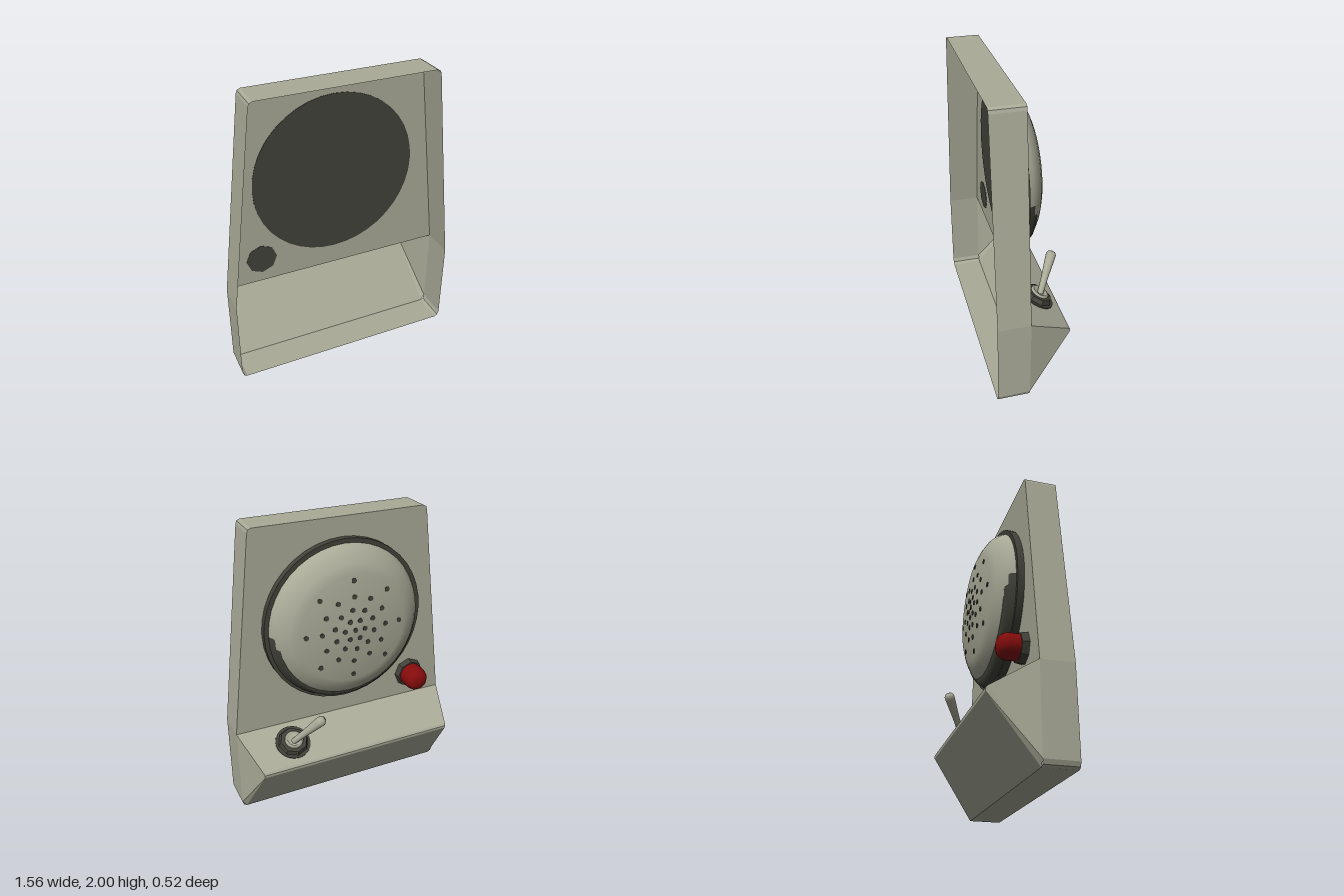
import * as THREE from 'three';

const V = (x, y, z) => new THREE.Vector3(x, y, z);
const BACK = new THREE.Vector3(0, 0, -1);
const UP = new THREE.Vector3(0, 1, 0);
const FACE_Z = 0.045, OPEN_Z = 0.26;

// Flat-shaded surface from convex polygons
function polygons(faces) {
  const pts = [];
  for (const f of faces)
    for (let i = 1; i < f.length - 1; i++) pts.push(f[0], f[i], f[i + 1]);
  const g = new THREE.BufferGeometry().setFromPoints(pts);
  g.computeVertexNormals();
  return g;
}

export function createModel() {
  const root = new THREE.Group();
  const shell = new THREE.MeshStandardMaterial({ color: 0xa9aa97, side: THREE.DoubleSide });
  shell.name = 'warm grey';
  const dark = new THREE.MeshStandardMaterial({ color: 0x42423a });
  dark.name = 'charcoal';
  const red = new THREE.MeshStandardMaterial({ color: 0x850c0c });
  red.name = 'lamp red';

  const add = (parent, name, geo, mat, pos) => {
    const m = new THREE.Mesh(geo, mat);
    m.name = name;
    if (pos) m.position.copy(pos);
    parent.add(m);
    return m;
  };
  // Group whose +y points along a given axis
  const mount = (name, pos, axis) => {
    const g = new THREE.Group();
    g.name = name;
    g.position.copy(pos);
    g.quaternion.setFromUnitVectors(UP, axis.clone().normalize());
    root.add(g);
    return g;
  };
  const lathe = (pts, n) => new THREE.LatheGeometry(pts.map(p => new THREE.Vector2(...p)), n);

  // Housing: a thin, hollow, tapered tray open on one side
  const half = [[0.75, 0], [0.77, 0.012], [0.78, 0.04], [0.78, 0.61],
    [0.612, 1.97], [0.605, 1.99], [0.585, 2]];
  const outline = [...half, ...half.slice().reverse().map(([x, y]) => [-x, y])];
  add(root, 'housingWalls', polygons(outline.map(([x, y], i) => {
    const [u, v] = outline[(i + 1) % outline.length];
    return [V(x, y, OPEN_Z), V(x, y, FACE_Z), V(u, v, FACE_Z), V(u, v, OPEN_Z)];
  })), shell);
  add(root, 'facePlate', polygons([
    outline.filter(p => p[1] > 0.6).map(([x, y]) => V(x, y, FACE_Z)).reverse(),
  ]), shell);

  // Wedge-shaped control shelf with a blunt ridge
  const corner = s => ({
    a: V(s * 0.78, 0.61, FACE_Z), b: V(s * 0.78, 0.04, FACE_Z), c: V(s * 0.75, 0, FACE_Z),
    t: V(s * 0.695, 0.452, -0.232), m: V(s * 0.69, 0.438, -0.243), u: V(s * 0.69, 0.418, -0.241),
  });
  const L = corner(1), R = corner(-1);
  add(root, 'controlShelf', polygons([
    [L.a, L.t, R.t, R.a], [L.t, L.m, R.m, R.t], [L.m, L.u, R.u, R.m], [L.u, L.c, R.c, R.u],
    [L.a, L.b, L.u, L.m, L.t], [L.b, L.c, L.u],
    [R.t, R.m, R.u, R.b, R.a], [R.u, R.c, R.b],
  ]), shell);

  // Speaker: dark rim, domed cover, dark gasket showing under the lower edge
  const speaker = mount('speaker', V(0, 1.31, 0), BACK);
  add(speaker, 'speakerRim', new THREE.CylinderGeometry(0.56, 0.56, 0.048, 40), dark, V(0, -0.024, 0));
  const profile = [[0.53, 0], [0.515, 0.035], [0.485, 0.07], [0.43, 0.105], [0.37, 0.13],
    [0.2, 0.146], [0, 0.16]];
  add(speaker, 'speakerCover', lathe(profile, 40), shell);
  const gasket = add(root, 'speakerGasket',
    lathe([[0.53, 0], [0.515, 0.035], [0.485, 0.066], [0, 0.066]], 40), dark, V(0, 1.296, 0));
  gasket.quaternion.copy(speaker.quaternion);

  // Sound holes: rings of small dark discs lying on the dome
  const holes = new THREE.Group();
  holes.name = 'soundHoles';
  speaker.add(holes);
  const height = r => {
    const i = profile.findIndex(p => p[0] <= r);
    const [r0, h0] = profile[i - 1], [r1, h1] = profile[i];
    return h0 + (h1 - h0) * (r0 - r) / (r0 - r1);
  };
  const disc = new THREE.CylinderGeometry(0.017, 0.017, 0.006, 10);
  for (const [r, n, turn] of [[0, 1, 0], [0.07, 6, 0], [0.14, 10, 0.2], [0.225, 12, 0], [0.33, 8, 0]]) {
    for (let i = 0; i < n; i++) {
      const a = turn + i / n * Math.PI * 2;
      const hole = add(holes, 'soundHole', disc, dark,
        V(r * Math.cos(a), height(r) + 0.001, r * Math.sin(a)));
      const tilt = r ? 0.08 : 0;
      hole.quaternion.setFromUnitVectors(UP,
        V(tilt * Math.cos(a), 1, tilt * Math.sin(a)).normalize());
    }
  }

  // Indicator lamp on an eight-sided nut
  const lamp = mount('lamp', V(-0.525, 0.785, 0), BACK);
  const nut = new THREE.CylinderGeometry(0.098, 0.106, 0.048, 8).toNonIndexed();
  nut.computeVertexNormals();
  add(lamp, 'lampNut', nut, dark, V(0, -0.024, 0));
  add(lamp, 'lampLens', lathe([[0.084, 0], [0.084, 0.065], [0.077, 0.095], [0.06, 0.118],
    [0.035, 0.13], [0, 0.134]], 24), red);

  // Toggle switch on the upper slope of the shelf
  const slope = V(0, 0.863, -0.506);
  const toggle = mount('toggleSwitch', V(0.432, 0.53, -0.091), slope);
  const washer = new THREE.CylinderGeometry(0.12, 0.12, 0.014, 24);
  add(toggle, 'switchWasher', washer, dark, V(0, 0.003, 0));
  const hex = new THREE.CylinderGeometry(0.092, 0.105, 0.03, 8).toNonIndexed();
  hex.computeVertexNormals();
  add(toggle, 'switchNut', hex, dark, V(0, 0.024, 0));
  add(toggle, 'switchCollar', lathe([[0.062, 0.03], [0.062, 0.052], [0.045, 0.052],
    [0.04, 0.041], [0, 0.041]], 20), shell);

  // Lever: slim at the pivot, thicker and rounded at the tip
  const base = V(0.435, 0.555, -0.115), tip = V(0.265, 0.765, -0.245);
  const len = base.distanceTo(tip);
  const lever = mount('leverMount', base, tip.clone().sub(base));
  add(lever, 'switchLever', lathe([[0.02, 0], [0.024, len * 0.4], [0.034, len - 0.045],
    [0.034, len - 0.025], [0.024, len - 0.007], [0, len]], 16), shell);

  return root;
}
